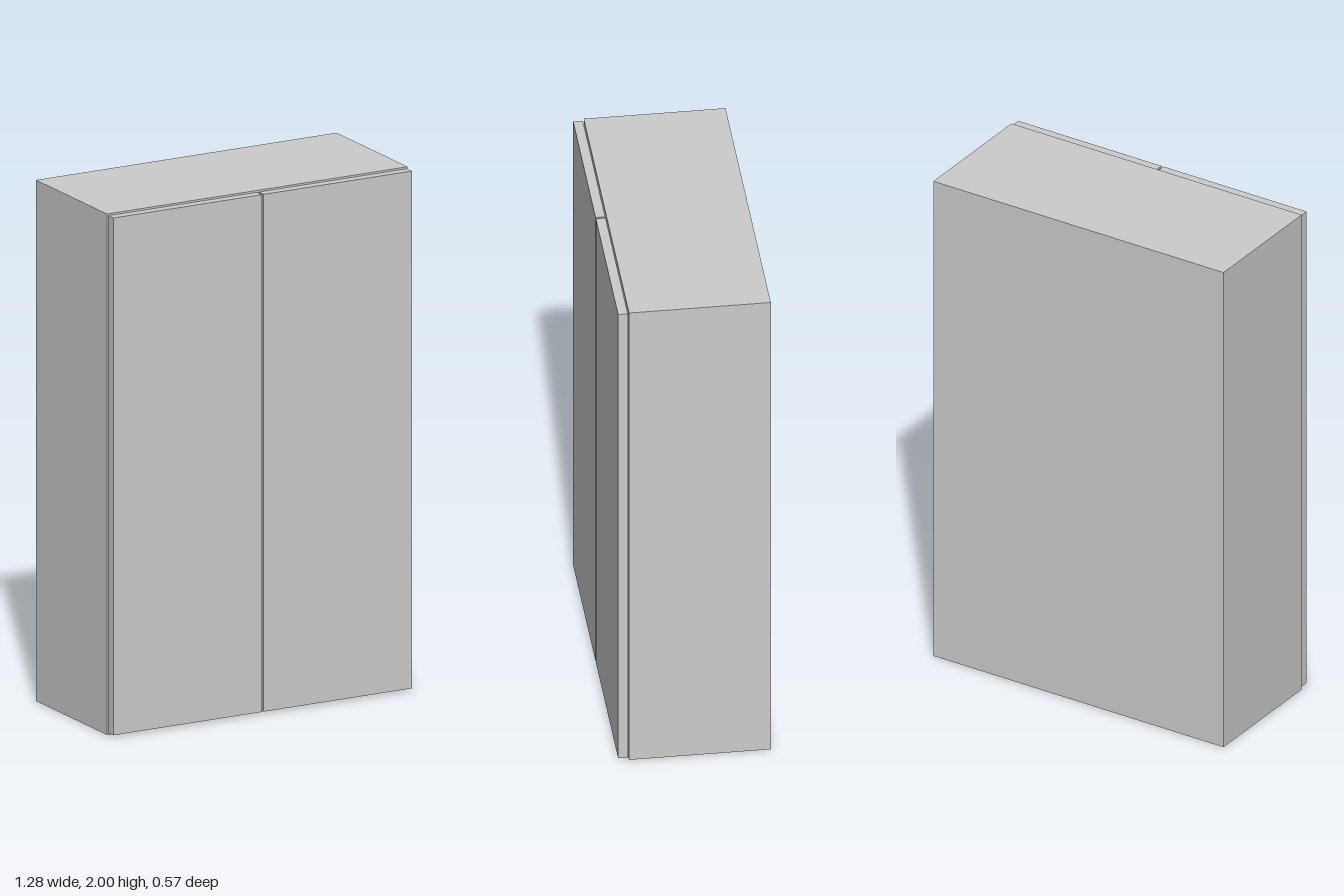
import * as THREE from 'three';

export function createModel() {
  const group = new THREE.Group();
  group.name = 'cabinet';
  const material = new THREE.MeshStandardMaterial({ color: 0xcccccc });

  // Board spanning the given limits on each axis
  function board(name, [x0, x1], [y0, y1], [z0, z1]) {
    const mesh = new THREE.Mesh(new THREE.BoxGeometry(x1 - x0, y1 - y0, z1 - z0), material);
    mesh.position.set((x0 + x1) / 2, (y0 + y1) / 2, (z0 + z1) / 2);
    mesh.name = name;
    group.add(mesh);
  }

  const W = 0.64, H = 2, T = 0.032;   // half width, height, board thickness
  const back = -0.284, front = 0.244; // carcass depth limits
  const inner = [-W + T, W - T];
  const backT = 0.012;

  // Carcass
  board('rightSide', [-W, -W + T], [0, H], [back, front]);
  board('leftSide', [W - T, W], [0, H], [back, front]);
  board('bottomPanel', inner, [0, T], [back, front]);
  board('topPanel', inner, [H - T, H], [back, front]);
  board('backPanel', inner, [T, H - T], [back, back + backT]);
  board('shelf', inner, [1 - T / 2, 1 + T / 2], [back + backT, front]);

  // Pair of doors, slightly smaller than the carcass, with a gap between
  const doorY = [0.008, 1.994], doorZ = [0.248, 0.284];
  board('rightDoor', [-0.636, -0.004], doorY, doorZ);
  board('leftDoor', [0.004, 0.636], doorY, doorZ);

  return group;
}
